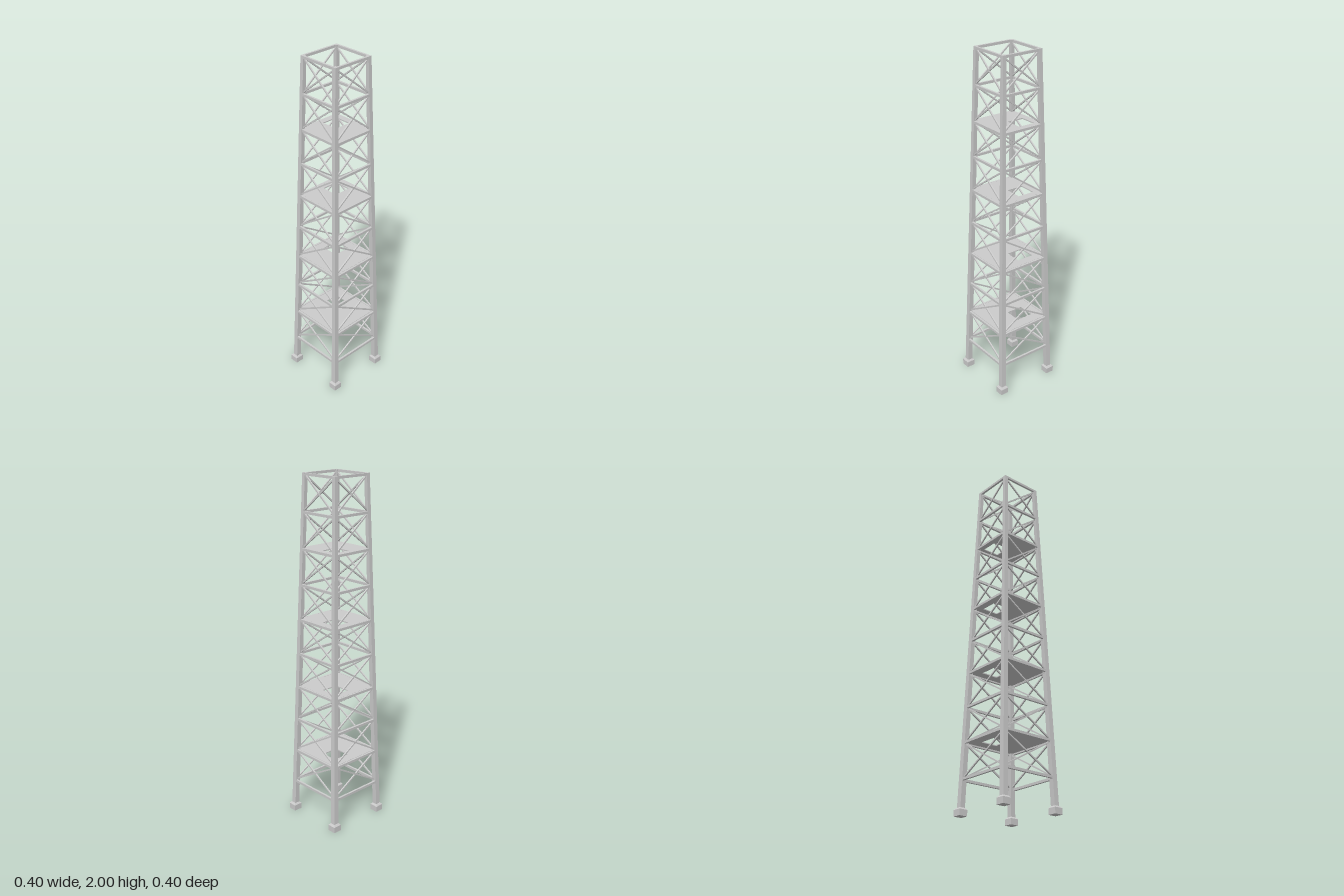
import * as THREE from 'three';

const HEIGHT = 2;
const BAY = 0.2;
const mat = new THREE.MeshStandardMaterial({ color: 0xcccccc, flatShading: true });

// taper of the tower: leg centre offset and leg width at a given height
const legCentre = (y) => THREE.MathUtils.lerp(0.173, 0.115, y / HEIGHT);
const legWidth = (y) => THREE.MathUtils.lerp(0.03, 0.021, y / HEIGHT);

function add(parent, geometry, name) {
  const mesh = new THREE.Mesh(geometry, mat);
  mesh.name = name;
  parent.add(mesh);
  return mesh;
}

// square tapered block with its base at y = 0
function frustum(bottom, top, height) {
  const g = new THREE.CylinderGeometry(top * Math.SQRT1_2, bottom * Math.SQRT1_2, height, 4);
  return g.rotateY(Math.PI / 4).translate(0, height / 2, 0);
}

// square bar between two points
function bar(parent, a, b, width, height, name) {
  const mesh = add(parent, new THREE.BoxGeometry(width, height, a.distanceTo(b)), name);
  mesh.position.copy(a).add(b).multiplyScalar(0.5);
  mesh.lookAt(b);
  return mesh;
}

function leg(sx, sz) {
  const g = frustum(legWidth(0), legWidth(HEIGHT), HEIGHT);
  const p = g.attributes.position;
  // lean the straight post towards the tower axis
  for (let i = 0; i < p.count; i++) {
    const c = legCentre(p.getY(i));
    p.setX(i, p.getX(i) + sx * c);
    p.setZ(i, p.getZ(i) + sz * c);
  }
  g.computeVertexNormals();
  return g;
}

function createFace() {
  const face = new THREE.Group();
  face.name = 'trussFace';
  for (let i = 1; i <= 10; i++) {
    const y = i * BAY;
    const c = legCentre(y);
    // horizontal beam, flush with the outside of the legs
    const z = c + legWidth(y) / 2 - 0.006;
    bar(face, new THREE.Vector3(-c, y - 0.007, z), new THREE.Vector3(c, y - 0.007, z), 0.012, 0.014, 'crossBeam');
    if (i === 10) continue;
    // crossed diagonals up to the next level
    const lo = y;
    const hi = y + BAY - 0.01;
    const a = legCentre(lo);
    const b = legCentre(hi);
    for (const s of [-1, 1]) {
      bar(face, new THREE.Vector3(-s * a, lo, a), new THREE.Vector3(s * b, hi, b), 0.008, 0.008, 'diagonalBrace');
    }
  }
  return face;
}

function createPlatform(y) {
  const c = legCentre(y);
  const shape = new THREE.Shape();
  shape.moveTo(-c, -c).lineTo(c, -c).lineTo(c, c).lineTo(-c, c).closePath();
  // ladder opening
  const hole = new THREE.Path();
  hole.moveTo(0, 0).lineTo(0, 0.1).lineTo(0.1, 0.1).lineTo(0.1, 0).closePath();
  shape.holes.push(hole);
  const g = new THREE.ExtrudeGeometry(shape, { depth: 0.006, bevelEnabled: false });
  return g.rotateX(-Math.PI / 2).translate(0, y - 0.006, 0);
}

export function createModel() {
  const tower = new THREE.Group();
  tower.name = 'latticeTower';

  // legs and footings
  for (const sx of [-1, 1]) {
    for (const sz of [-1, 1]) {
      add(tower, leg(sx, sz), 'leg');
      const footing = new THREE.Group();
      footing.name = 'footing';
      footing.position.set(sx * 0.173, 0, sz * 0.173);
      add(footing, new THREE.BoxGeometry(0.05, 0.034, 0.05).translate(0, 0.017, 0), 'footingBlock');
      add(footing, frustum(0.05, 0.034, 0.01).translate(0, 0.034, 0), 'footingCap');
      tower.add(footing);
    }
  }

  // four identical truss sides
  for (let i = 0; i < 4; i++) {
    const face = createFace();
    face.rotation.y = (i * Math.PI) / 2;
    tower.add(face);
  }

  // platforms on every second level
  for (const y of [0.4, 0.8, 1.2, 1.6]) add(tower, createPlatform(y), 'platform');

  return tower;
}
